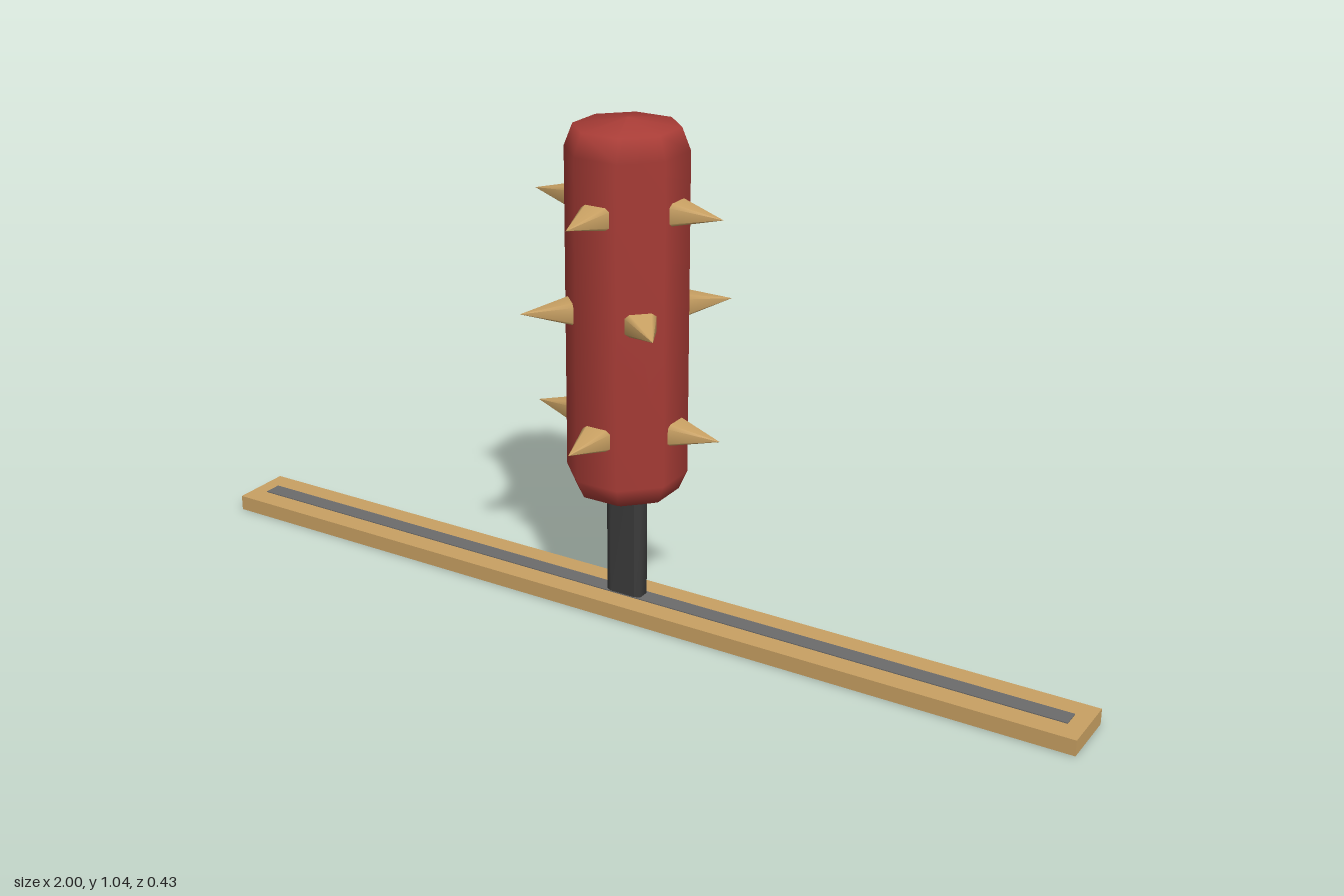
import * as THREE from 'three';

const mat = (name, color) => new THREE.MeshStandardMaterial({ name, color });

// Push an eight-sided ring's points outward so it becomes a rounded rectangle
function squareOff(geometry, halfX, halfZ, unit) {
  const p = geometry.attributes.position;
  const bend = (v) => Math.sign(v) * Math.pow(Math.abs(v), 0.4);
  for (let i = 0; i < p.count; i++) {
    const x = p.getX(i), z = p.getZ(i), r = Math.hypot(x, z);
    if (r < 1e-6) continue;
    const k = r / unit / 0.967;
    p.setX(i, bend(x / r) * k * halfX);
    p.setZ(i, bend(z / r) * k * halfZ);
  }
  geometry.computeVertexNormals();
  return geometry;
}

export function createModel() {
  const group = new THREE.Group();
  const red = mat('red padding', 0xa83c36);
  const wood = mat('tan wood', 0xc9a163);
  const dark = mat('dark metal', 0x3c3c3c);
  const grey = mat('grey slot', 0x6c6c6c);

  const add = (name, geometry, material, x = 0, y = 0, z = 0) => {
    const mesh = new THREE.Mesh(geometry, material);
    mesh.name = name;
    mesh.position.set(x, y, z);
    group.add(mesh);
    return mesh;
  };

  // Long base board with its slide slot
  add('baseBoard', new THREE.BoxGeometry(2, 0.033, 0.132), wood, 0, 0.0165, 0);
  add('slot', new THREE.BoxGeometry(1.93, 0.003, 0.038), grey, 0, 0.0335, 0);

  // Flat post
  const post = squareOff(
    new THREE.CylinderGeometry(1, 1, 0.25, 8, 1, false, Math.PI / 8), 0.04, 0.018, 1);
  add('post', post, dark, 0, 0.15, 0);

  // Eight-sided padded body; radii are measured to the flats
  const profile = [[0, 0.257], [0.06, 0.257], [0.098, 0.276], [0.114, 0.315],
    [0.114, 0.98], [0.098, 1.025], [0, 1.041]];
  const body = new THREE.LatheGeometry(
    profile.map(([r, y]) => new THREE.Vector2(r / Math.cos(Math.PI / 8), y)), 8, Math.PI / 8);
  add('body', body, red);

  // Three rings of four spikes, the middle ring turned by an eighth
  const spike = squareOff(
    new THREE.ConeGeometry(1, 0.105, 8, 1, false, Math.PI / 8), 0.033, 0.0235, 1);
  spike.rotateX(Math.PI / 2);
  spike.translate(0, 0, 0.1615);
  [[0.418, 0], [0.66, Math.PI / 4], [0.87, 0]].forEach(([y, turn]) => {
    for (let i = 0; i < 4; i++) {
      add('spike', spike, wood, 0, y, 0).rotation.y = turn + i * Math.PI / 2;
    }
  });
  return group;
}
